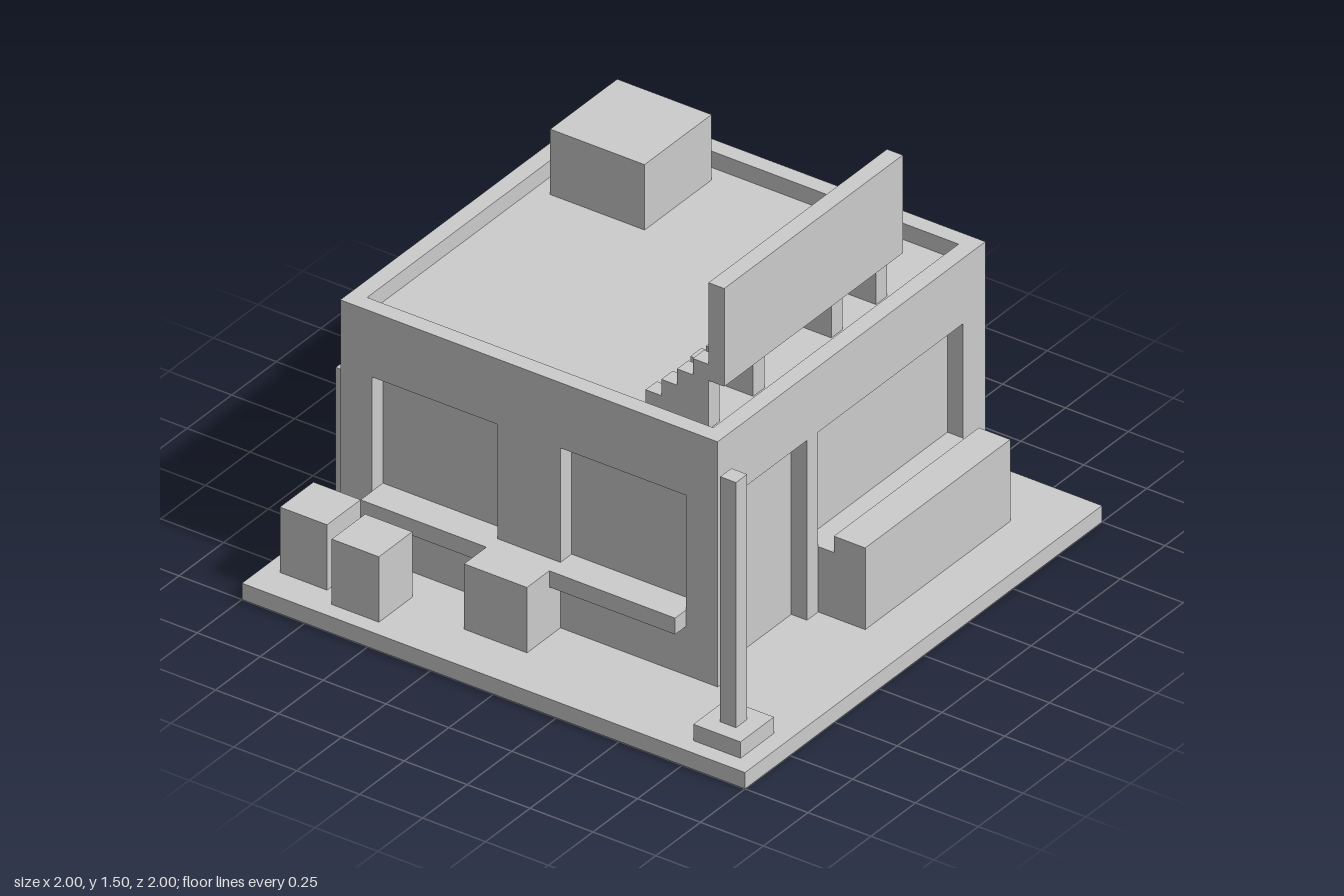
import * as THREE from 'three';

// All dimensions are in blocks; 16 blocks make one unit.
const BLOCK = 1 / 16;
const material = new THREE.MeshStandardMaterial({ color: 0xcccccc, flatShading: true });

export function createModel() {
  const model = new THREE.Group();
  model.name = 'cornerShop';
  model.scale.setScalar(BLOCK);

  const add = (name, geometry, parent = model) => {
    const mesh = new THREE.Mesh(geometry, material);
    mesh.name = name;
    parent.add(mesh);
    return mesh;
  };
  const box = (name, [x0, x1], [y0, y1], [z0, z1], parent) =>
    add(name, new THREE.BoxGeometry(x1 - x0, y1 - y0, z1 - z0)
      .translate((x0 + x1) / 2, (y0 + y1) / 2, (z0 + z1) / 2), parent);
  const outline = (points) => new THREE.Shape(points.map(([x, y]) => new THREE.Vector2(x, y)));
  const rect = (x0, x1, y0, y1) => outline([[x0, y0], [x1, y0], [x1, y1], [x0, y1]]);
  const slab = (shape, depth = 1) =>
    new THREE.ExtrudeGeometry(shape, { depth, bevelEnabled: false });
  // Turns a slab so that its outline runs along z and its outer face is at x
  const sideways = (geometry, x) => geometry.rotateY(-Math.PI / 2).translate(x, 0, 0);

  box('ground', [-16, 16], [0, 1], [-16, 16]);

  // Building: core up to the roof, one-block walls rising into a parapet
  const building = new THREE.Group();
  building.name = 'building';
  model.add(building);
  box('roofAndPanes', [-13, 9], [1, 15], [-13, 9], building);
  box('backWall', [-14, 10], [1, 16], [-14, -13], building);
  box('leftWall', [-14, -13], [1, 16], [-13, 9], building);

  const front = rect(-14, 10, 1, 16);
  front.holes.push(rect(-12, -4, 5, 12), rect(0, 8, 5, 12));
  add('frontWall', slab(front).translate(0, 0, 9), building);

  // Right wall with a door notch and a wide window
  const right = outline([[-13, 1], [2, 1], [2, 12], [8, 12], [8, 1], [9, 1], [9, 16], [-13, 16]]);
  right.holes.push(rect(-12, 1, 5, 12));
  add('rightWall', sideways(slab(right), 10), building);

  // Roof unit and billboard on stepped brackets
  box('roofUnit', [-12, -6], [15, 19], [-12, -6]);
  box('billboard', [8, 9], [18, 24], [-8, 8]);
  const steps = [[8, 15], [8, 19]];
  for (let i = 3; i >= 0; i--) steps.push([4 + i, 16 + i], [4 + i, 15 + i]);
  for (const z of [-8, -4, 3, 7]) {
    add('billboardBracket', slab(outline(steps)).translate(0, 0, z));
  }

  // Low outer walls with raised blocks along the back and left
  add('backOuterWall', slab(outline([
    [-15, 1], [9, 1], [9, 11], [-2, 11], [-2, 14], [-6, 14], [-6, 11],
    [-8, 11], [-8, 14], [-12, 14], [-12, 11], [-15, 11],
  ])).translate(0, 0, -15));
  add('leftOuterWall', sideways(slab(outline([
    [-14, 1], [9, 1], [9, 11], [6, 11], [6, 14], [2, 14], [2, 11], [-14, 11],
  ])), -14));

  // Front shelf, counter and crates
  box('windowShelf', [-12, 8], [4, 5], [10, 11]);
  box('counter', [-4, 0], [1, 5], [10, 13]);
  box('crate', [-15, -12], [1, 5], [11, 14]);
  box('crate', [-11, -8], [1, 5], [12, 15]);

  // Planter under the side window
  box('planterBack', [10, 11], [1, 5], [-12, 1]);
  box('planterFront', [11, 13], [1, 6], [-12, 1]);

  // Corner post
  box('postBase', [12, 15], [1, 2], [12, 15]);
  box('post', [13, 14], [2, 17], [13, 14]);

  const root = new THREE.Group();
  root.name = 'shopOnPlot';
  root.add(model);
  return root;
}
